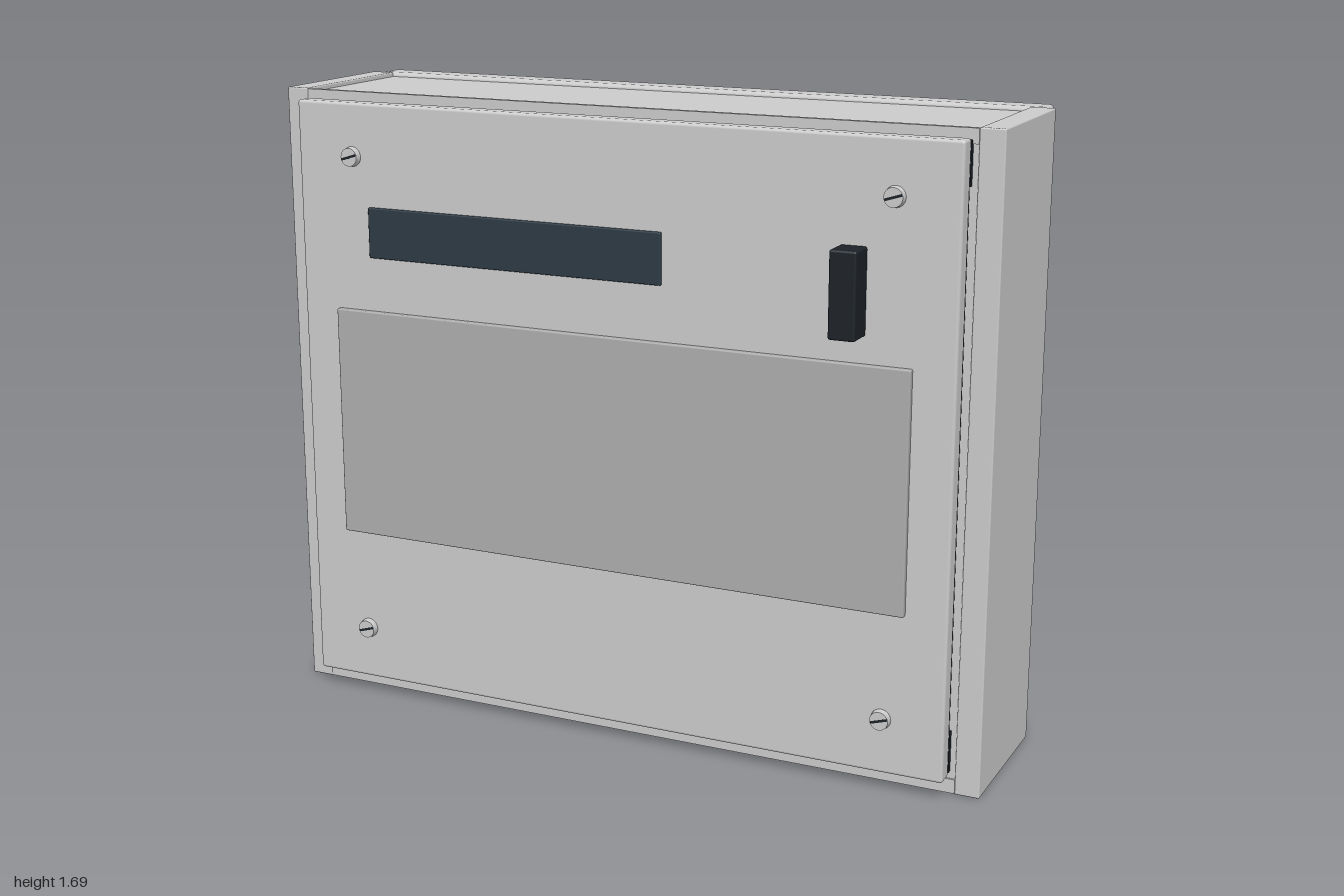
import * as THREE from 'three';
import { RoundedBoxGeometry } from 'three/addons/geometries/RoundedBoxGeometry.js';

const mat = (color) => new THREE.MeshStandardMaterial({ color });
const grey = mat(0xcccccc);
const panelGrey = mat(0xadadad);
const slate = mat(0x2c3a44);
const black = mat(0x1c2228);
const brass = mat(0xc08a3a);
const steel = mat(0xbfc0be);

// Box given by its limits on each axis; a radius rounds its edges
function box(name, [x0, x1], [y0, y1], [z0, z1], material, radius = 0) {
  const size = [x1 - x0, y1 - y0, z1 - z0];
  const geo = radius ? new RoundedBoxGeometry(...size, 2, radius) : new THREE.BoxGeometry(...size);
  const mesh = new THREE.Mesh(geo, material);
  mesh.name = name;
  mesh.position.set((x0 + x1) / 2, (y0 + y1) / 2, (z0 + z1) / 2);
  return mesh;
}

// Slotted screw head whose top faces +z, standing on z = 0
function screw(name, radius, height) {
  const g = new THREE.Group();
  g.name = name;
  const head = new THREE.Mesh(new THREE.CylinderGeometry(radius * 0.9, radius, height, 24), steel);
  head.name = 'screwHead';
  head.rotation.x = Math.PI / 2;
  head.position.z = height / 2;
  const slot = box('screwSlot', [-radius * 0.85, radius * 0.85], [-radius * 0.12, radius * 0.12], [height * 0.9, height * 1.02], black);
  slot.rotation.z = 0.3;
  g.add(head, slot);
  return g;
}

// Folded sheet housing: core, overlapping side walls and a back pan
function housing() {
  const g = new THREE.Group();
  g.name = 'housing';
  g.add(box('core', [-0.94, 0.94], [0.012, 1.678], [-0.19, 0.245], grey));
  for (const s of [-1, 1]) {
    const xs = [0.935 * s, s].sort((a, b) => a - b);
    g.add(box('sideWall', xs, [0, 1.69], [-0.18, 0.25], grey, 0.004));
  }
  g.add(box('backPan', [-0.975, 0.975], [0, 1.69], [-0.262, -0.18], grey, 0.012));
  // front return flanges along the top and bottom
  g.add(box('topFlange', [-0.935, 0.935], [1.65, 1.688], [0.235, 0.25], grey));
  g.add(box('bottomFlange', [-0.935, 0.935], [0.002, 0.04], [0.235, 0.25], grey));
  return g;
}

// Door with gasket, spacers, windows, handle and corner screws
function door() {
  const g = new THREE.Group();
  g.name = 'door';
  g.add(box('doorPanel', [-0.923, 0.923], [0.054, 1.667], [0.268, 0.318], grey, 0.008));
  g.add(box('gasket', [-0.918, 0.918], [0.06, 1.66], [0.256, 0.269], black));
  g.add(box('displayPanel', [-0.813, 0.813], [0.483, 1.112], [0.31, 0.334], panelGrey, 0.004));
  g.add(box('window', [-0.71, 0.148], [1.257, 1.393], [0.31, 0.325], slate, 0.004));
  g.add(box('handle', [0.62, 0.69], [1.18, 1.4], [0.31, 0.392], black, 0.006));
  for (const sx of [-1, 1]) {
    for (const y of [0.2, 1.525]) {
      const s = screw('doorScrew', 0.027, 0.018);
      s.position.set(0.757 * sx, y, 0.317);
      g.add(s);
    }
    for (const y of [0.06, 1.55]) {
      const xs = [0.78 * sx, 0.92 * sx].sort((a, b) => a - b);
      g.add(box('spacer', xs, [y, y + 0.11], [0.243, 0.26], black));
    }
  }
  return g;
}

// One clamp, with y measured up from the shelf and the screw facing -z
function terminal(x) {
  const g = new THREE.Group();
  g.name = 'terminal';
  g.add(box('clampHousing', [-0.052, 0.052], [0, 0.115], [-0.345, -0.29], black));
  g.add(box('clampPlate', [-0.046, 0.046], [0.02, 0.118], [-0.355, -0.31], brass));
  g.add(box('clampCap', [-0.035, 0.035], [0.095, 0.125], [-0.362, -0.31], steel, 0.004));
  g.add(box('clampWasher', [-0.03, 0.03], [0.035, 0.095], [-0.362, -0.35], steel, 0.004));
  const s = screw('clampScrew', 0.024, 0.026);
  s.rotation.y = Math.PI;
  s.position.set(0, 0.075, -0.36);
  g.add(s);
  g.position.x = x;
  return g;
}

// Terminal row: shelf, rear wall, dividers, clamps and coloured markers
function terminalRow(y) {
  const g = new THREE.Group();
  g.name = 'terminalRow';
  g.add(box('shelf', [-0.477, 0.477], [-0.012, 0.004], [-0.375, -0.26], slate));
  g.add(box('rowBack', [-0.477, 0.477], [0, 0.14], [-0.295, -0.26], slate));
  for (const x of [-0.197, 0.197]) g.add(box('divider', [x - 0.006, x + 0.006], [0, 0.14], [-0.373, -0.28], slate));
  const colors = [0xd0661f, 0x3a78c8, 0x1fa04a];
  [-0.39, 0, 0.39].forEach((x, i) => {
    g.add(terminal(x));
    g.add(box('marker', [x - 0.06, x + 0.06], [-0.03, -0.01], [-0.357, -0.325], mat(colors[i]), 0.006));
  });
  g.position.y = y;
  return g;
}

export function createModel() {
  const model = new THREE.Group();
  model.name = 'controlCabinet';
  model.add(housing(), door());
  model.add(box('terminalPlate', [-0.477, 0.477], [0.345, 1.435], [-0.275, -0.25], slate));
  model.add(terminalRow(0.355), terminalRow(1.3));
  return model;
}
